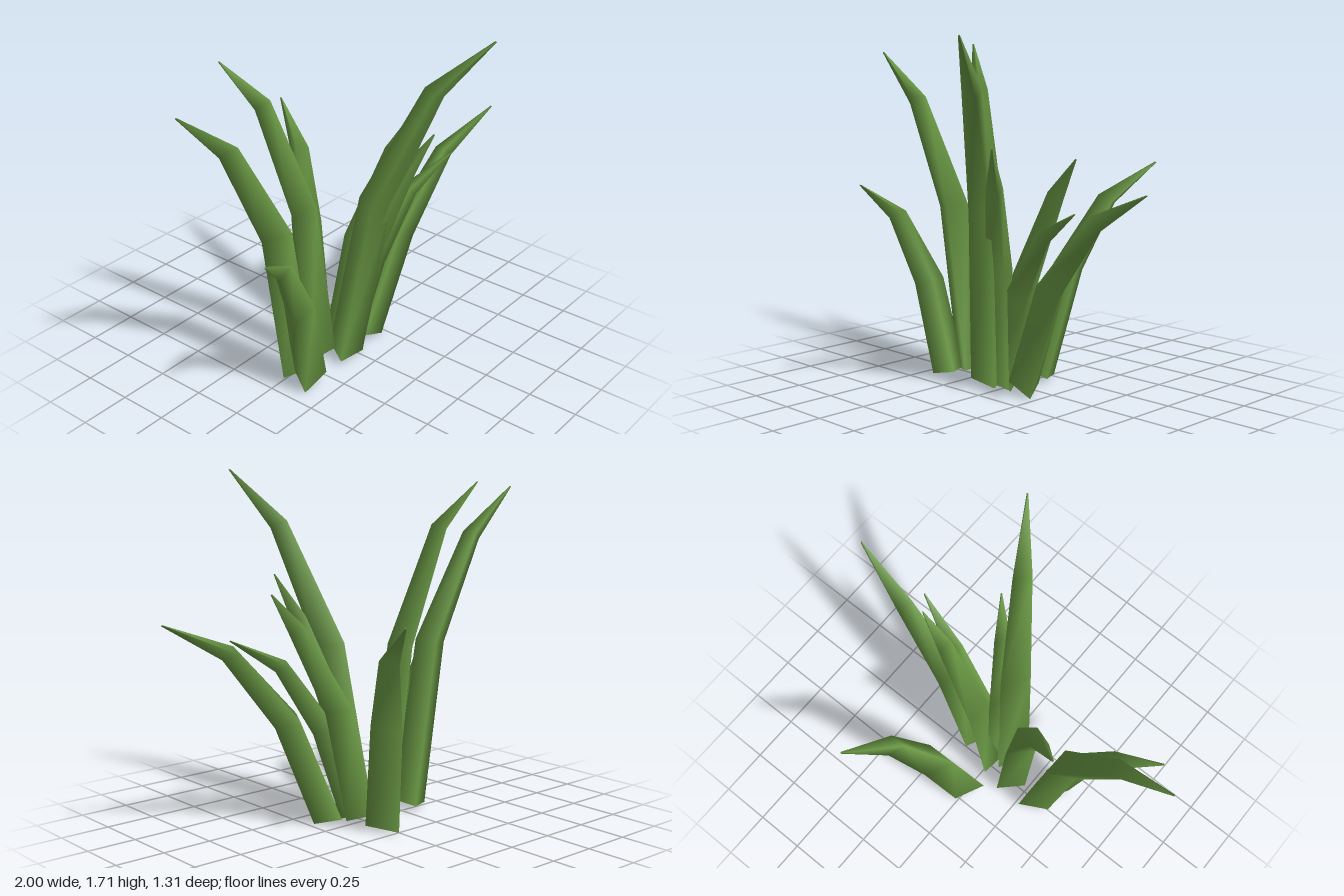
import * as THREE from 'three';

// Each blade: spine points (base, middle, shoulder, tip), turn of its triangular section in degrees, thickness
const BLADES = [
  ['outerRightBlade', [[-0.32, 0.03, 0], [-0.455, 0.85, 0], [-0.73, 1.375, -0.01], [-1, 1.61, -0.02]], 60, 0.95],
  ['tallRightBlade', [[-0.15, 0.037, 0], [-0.225, 0.86, -0.04], [-0.385, 1.435, -0.13], [-0.53, 1.655, -0.23]], 45, 0.9],
  ['tallFrontBlade', [[-0.067, 0.035, 0.107], [0.02, 0.87, 0.21], [0.165, 1.45, 0.43], [0.31, 1.71, 0.65]], 32, 1],
  ['lowRightBlade', [[-0.352, 0.03, 0.11], [-0.46, 0.48, 0.14], [-0.635, 0.81, 0.2], [-0.83, 0.945, 0.285]], 31, 0.95],
  ['outerLeftBlade', [[0.15, 0.035, 0.08], [0.36, 0.54, 0.12], [0.67, 0.9, 0.16], [0.99, 1.055, 0.23]], 30, 0.9],
  ['lowLeftBlade', [[0, 0.03, 0.06], [0.14, 0.47, 0.11], [0.36, 0.8, 0.17], [0.61, 0.94, 0.25]], 30, 0.85],
  ['middleLeftBlade', [[0.01, 0.03, 0.02], [0.13, 0.58, 0.04], [0.35, 0.99, 0.08], [0.48, 1.16, 0.1]], 7, 0.85],
  ['middleFrontBlade', [[0, 0.03, 0.08], [0.06, 0.6, 0.16], [0.16, 1.0, 0.29], [0.24, 1.21, 0.39]], 32, 0.85],
  ['backBlade', [[0.015, 0.03, -0.17], [0.1, 0.56, -0.29], [0.22, 0.9, -0.43], [0.34, 1.08, -0.65]], 30, 1],
];
const RADII = [0.098, 0.09, 0.056, 0.005];
const SIDES = 3;

// Three-sided tapering stalk, smooth around its sides, with flat end caps
function bladeGeometry(points, turn, thickness) {
  const spine = points.map((p) => new THREE.Vector3(...p));
  const up = new THREE.Vector3(0, 1, 0);
  const lower = spine[1].clone().sub(spine[0]).normalize();
  const upper = spine[2].clone().sub(spine[1]).normalize();
  const rings = spine.map((centre, i) => {
    const tilt = new THREE.Quaternion().setFromUnitVectors(up, i < 2 ? lower : upper);
    return Array.from({ length: SIDES }, (_, j) => {
      const a = THREE.MathUtils.degToRad(turn) + (j / SIDES) * Math.PI * 2;
      const r = RADII[i] * thickness;
      return new THREE.Vector3(Math.cos(a) * r, 0, Math.sin(a) * r).applyQuaternion(tilt).add(centre);
    });
  });
  const vertices = [...rings.flat(), ...rings[0], ...rings[3]];
  const index = [];
  for (let i = 0; i < rings.length - 1; i++) {
    for (let j = 0; j < SIDES; j++) {
      const a = i * SIDES + j;
      const a1 = i * SIDES + ((j + 1) % SIDES);
      index.push(a, a + SIDES, a1, a1, a + SIDES, a1 + SIDES);
    }
  }
  // End caps have their own vertices so the rim stays sharp
  const cap = rings.length * SIDES;
  index.push(cap, cap + 1, cap + 2, cap + 3, cap + 5, cap + 4);
  const geometry = new THREE.BufferGeometry().setFromPoints(vertices);
  geometry.setIndex(index);
  geometry.computeVertexNormals();
  return geometry;
}

export function createModel() {
  const group = new THREE.Group();
  group.name = 'grassTuft';
  const leafGreen = new THREE.MeshStandardMaterial({ color: 0x6b9a45 });
  leafGreen.name = 'leafGreen';
  for (const [name, points, turn, thickness] of BLADES) {
    const blade = new THREE.Mesh(bladeGeometry(points, turn, thickness), leafGreen);
    blade.name = name;
    group.add(blade);
  }
  return group;
}
